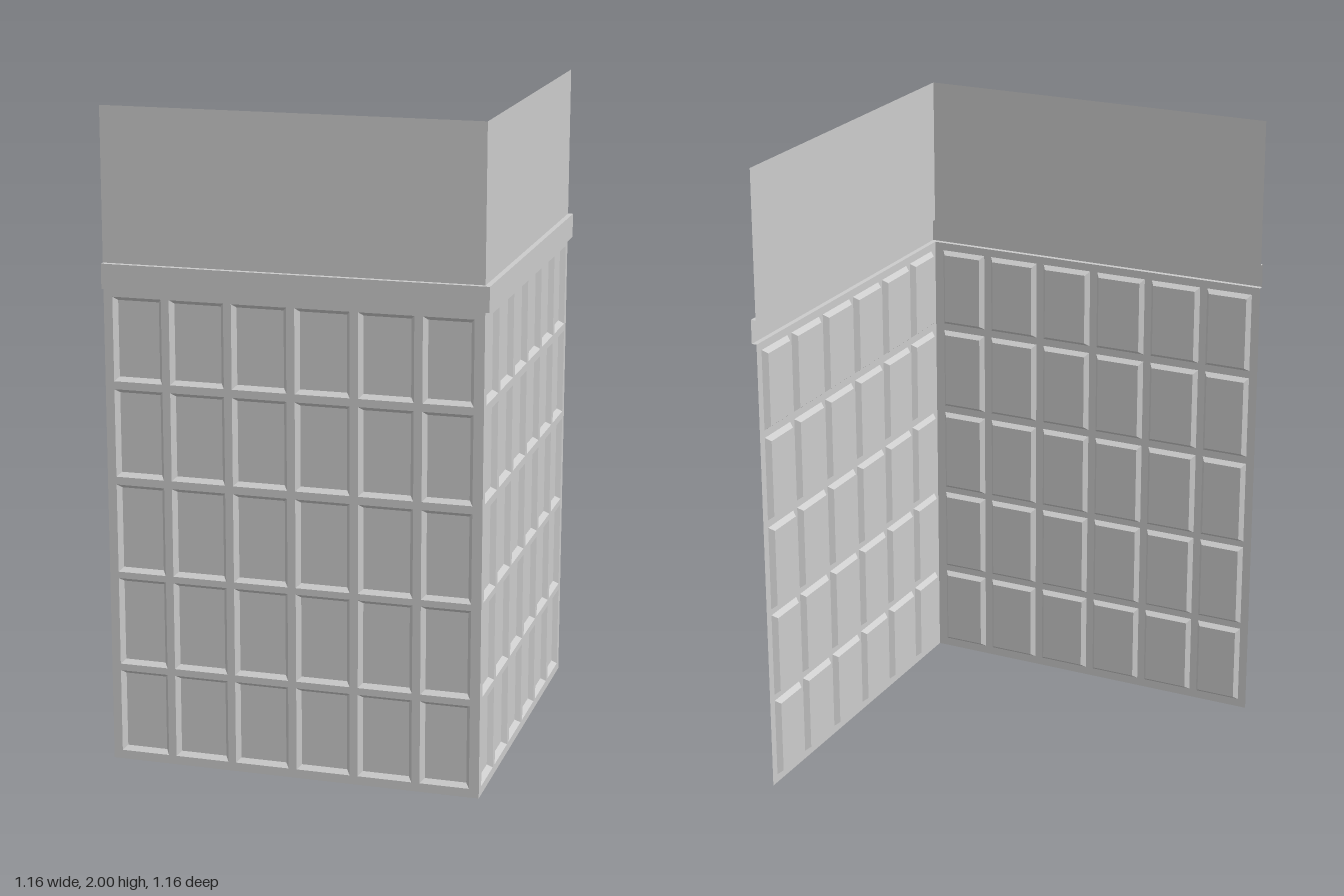
import * as THREE from 'three';

const FACE = 0.562;        // outer plane of both walls
const END = -0.58;         // free end of each wall
const DEPTH = 0.016;       // panel recess and belt projection
const INSET = 0.012;       // bevel width of a panel
const BELT = [1.465, 1.54];
const TOP = 2;

// Panel openings along the wall and up it
const columns = [[-0.553, -0.403], [-0.379, -0.213], [-0.189, -0.023],
  [0.002, 0.167], [0.192, 0.357], [0.382, 0.532]];
const rows = [[0.027, 0.285], [0.306, 0.578], [0.598, 0.87], [0.894, 1.162], [1.186, 1.44]];

const material = new THREE.MeshStandardMaterial({
  color: 0xcccccc, flatShading: true, side: THREE.DoubleSide,
});

// Sheet mesh from quads of [along, up, outward] corners, anticlockwise from outside
function sheet(name, quads, side) {
  const positions = [];
  for (const quad of quads) {
    const points = quad.map(([u, y, d]) => (side ? [FACE + d, y, u] : [u, y, FACE + d]));
    if (side) points.reverse();
    for (const i of [0, 1, 2, 0, 2, 3]) positions.push(...points[i]);
  }
  const geometry = new THREE.BufferGeometry();
  geometry.setAttribute('position', new THREE.Float32BufferAttribute(positions, 3));
  geometry.computeVertexNormals();
  const mesh = new THREE.Mesh(geometry, material);
  mesh.name = name;
  return mesh;
}

const rect = (u0, u1, y0, y1, d = 0) => [[u0, y0, d], [u1, y0, d], [u1, y1, d], [u0, y1, d]];

// Flat lattice of stiles and rails around the openings
function latticeQuads() {
  const quads = [];
  const us = [END, ...columns.flat(), FACE];
  const ys = [0, ...rows.flat(), BELT[0]];
  for (let i = 0; i < us.length; i += 2) quads.push(rect(us[i], us[i + 1], 0, BELT[0]));
  for (const [u0, u1] of columns) {
    for (let j = 0; j < ys.length; j += 2) quads.push(rect(u0, u1, ys[j], ys[j + 1]));
  }
  return quads;
}

// Recessed panel: four sloping sides and a sunken face
function panelQuads([u0, u1], [y0, y1]) {
  const outer = rect(u0, u1, y0, y1);
  const inner = rect(u0 + INSET, u1 - INSET, y0 + INSET, y1 - INSET, -DEPTH);
  const quads = [inner];
  for (let i = 0; i < 4; i++) {
    const j = (i + 1) % 4;
    quads.push([outer[i], outer[j], inner[j], inner[i]]);
  }
  return quads;
}

// Projecting hollow belt, mitred at the corner
function beltQuads() {
  const profile = [[BELT[0], 0], [BELT[0], DEPTH], [BELT[1], DEPTH], [BELT[1], 0]];
  return profile.slice(1).map(([y1, d1], i) => {
    const [y0, d0] = profile[i];
    return [[END, y0, d0], [FACE + d0, y0, d0], [FACE + d1, y1, d1], [END, y1, d1]];
  });
}

function wall(name, side) {
  const group = new THREE.Group();
  group.name = name;
  group.add(sheet('lattice', latticeQuads(), side));
  const panels = rows.flatMap((row) => columns.flatMap((column) => panelQuads(column, row)));
  group.add(sheet('recessedPanels', panels, side));
  group.add(sheet('belt', beltQuads(), side));
  group.add(sheet('upperWall', [rect(END, FACE, BELT[1], TOP)], side));
  return group;
}

export function createModel() {
  const model = new THREE.Group();
  model.name = 'panelledCornerWall';
  model.add(wall('frontWall', false), wall('sideWall', true));
  return model;
}
